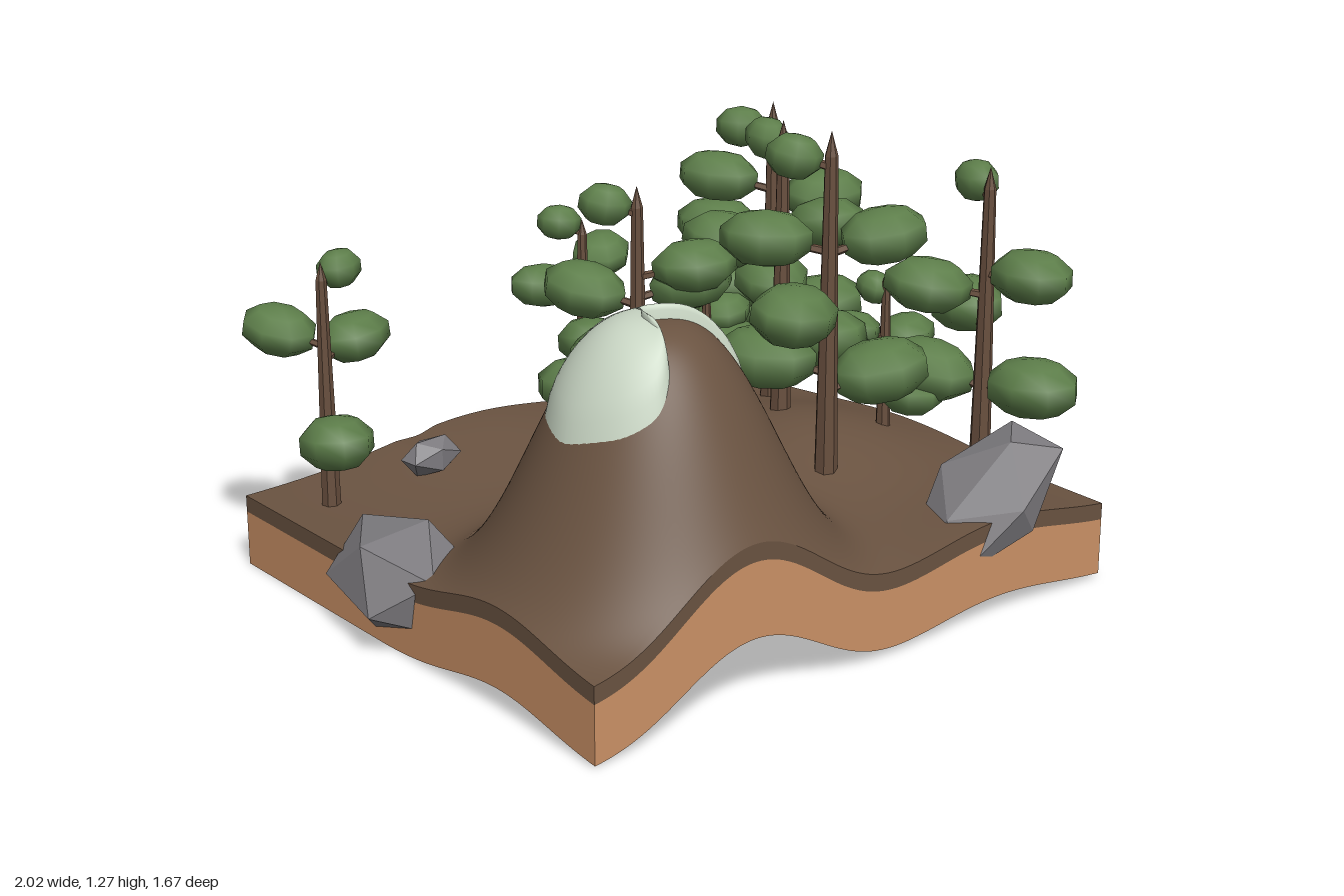
import * as THREE from 'three';

const mat = (name, color, extra = {}) => {
  const m = new THREE.MeshStandardMaterial({ color, ...extra });
  m.name = name;
  return m;
};

const X0 = -0.92, X1 = 0.86, Z0 = -0.83, Z1 = 0.77;
const step = (t) => THREE.MathUtils.smoothstep(t, 0, 1);
const bell = (dx, dz) => Math.exp(-dx * dx - dz * dz);

// Rolling land: mountain, low hill with a front spur, and back rise
function land(x, z) {
  const r = Math.hypot(x + 0.42, z - 0.38);
  return 0.205 + 0.715 * Math.exp(-Math.pow(r / 0.376, 2.8))
    + 0.155 * bell((x - 0.44) / 0.41, z / 0.46)
    + 0.065 * bell((x - 0.45) / 0.33, (z - 0.8) / 0.32)
    + 0.07 * bell((x + 0.15) / 0.4, (z + 0.83) / 0.4);
}

// Ground height, with a steep hollow cut behind the mountain
function ground(x, z) {
  const h = land(x, z);
  const cut = step((0.04 - z) / 0.045) * step((x + 0.7) / 0.07) * step((-0.27 - x) / 0.09);
  return THREE.MathUtils.lerp(h, Math.min(h, 0.25), cut);
}
const soilBase = (x, z) => ground(x, z) - 0.048;
const underside = (x, z) => Math.max(0, Math.min((land(x, z) - 0.207) * 0.8, ground(x, z) - 0.06));

function build(positions, index) {
  const g = new THREE.BufferGeometry();
  g.setAttribute('position', new THREE.Float32BufferAttribute(positions, 3));
  g.setIndex(index);
  g.computeVertexNormals();
  return g;
}

// Grid sheet over the whole plot, facing up or down
function sheet(height, up, n = 120) {
  const p = [], idx = [];
  for (let j = 0; j <= n; j++) for (let i = 0; i <= n; i++) {
    const x = X0 + (X1 - X0) * i / n, z = Z0 + (Z1 - Z0) * j / n;
    p.push(x, height(x, z), z);
    if (i < n && j < n) {
      const a = j * (n + 1) + i, b = a + 1, c = a + n + 1, d = c + 1;
      if (up) idx.push(a, c, b, b, c, d);
      else idx.push(a, b, c, b, d, c);
    }
  }
  return build(p, idx);
}

// Four outward walls between two height functions
function walls(low, high, n = 120) {
  const c = [[X0, Z1], [X1, Z1], [X1, Z0], [X0, Z0]];
  const p = [], idx = [];
  for (let s = 0; s < 4; s++) {
    const [ax, az] = c[s], [bx, bz] = c[(s + 1) % 4];
    for (let i = 0; i <= n; i++) {
      const x = ax + (bx - ax) * i / n, z = az + (bz - az) * i / n;
      const k = p.length / 3;
      p.push(x, low(x, z), z, x, high(x, z), z);
      if (i < n) idx.push(k, k + 2, k + 1, k + 1, k + 2, k + 3);
    }
  }
  return build(p, idx);
}

// Snow patch: rings growing from the summit to a wavy outline
function snowCap() {
  const outline = [[-0.35, 0.12], [-0.155, 0.2], [-0.13, 0.35], [-0.19, 0.46], [-0.34, 0.42],
    [-0.46, 0.385], [-0.485, 0.45], [-0.5, 0.54], [-0.56, 0.575], [-0.65, 0.525], [-0.71, 0.375],
    [-0.645, 0.215], [-0.58, 0.17], [-0.475, 0.18]];
  const curve = new THREE.CatmullRomCurve3(outline.map(([x, z]) => new THREE.Vector3(x, 0, z)), true);
  const n = 100, rings = 16, cx = -0.42, cz = 0.3, p = [], idx = [];
  for (let k = 0; k <= rings; k++) for (let i = 0; i < n; i++) {
    const t = k / rings, q = curve.getPoint(i / n);
    const x = cx + (q.x - cx) * t, z = cz + (q.z - cz) * t;
    const depth = k === rings ? -0.01 : (0.018 + 0.035 * t * t) * (1 - t ** 10);
    p.push(x, ground(x, z) + depth, z);
    if (k < rings) {
      const a = k * n + i, b = k * n + (i + 1) % n;
      idx.push(a, b, a + n, b, b + n, a + n);
    }
  }
  return build(p, idx);
}

// Trees: x, z, top height, then compass angle and height of each leaf clump, tip first
const TREES = [
  [-0.77, -0.62, 0.91, [[-16, 0.875], [-117, 0.7], [-22, 0.66], [112, 0.44]]],
  [-0.035, -0.17, 1.09, [[-146, 1.04], [34, 0.86], [19, 0.8], [-119, 0.78], [157, 0.65], [-125, 0.5]]],
  [0.295, 0.25, 1.27, [[-140, 1.2], [-130, 0.965], [11, 0.96], [165, 0.8], [-123, 0.62], [11, 0.57]]],
  [0.455, -0.12, 1.21, [[-79, 1.14], [84, 0.94], [-136, 0.86], [-59, 0.7], [84, 0.6], [-93, 0.48]]],
  [0.71, -0.45, 1.17, [[-130, 1.09], [-122, 0.93], [19, 0.87], [-123, 0.78], [180, 0.64], [-118, 0.54], [15, 0.52]]],
  [0.775, 0.38, 1.12, [[-68, 1.06], [88, 0.84], [-139, 0.78], [-63, 0.68], [78, 0.51], [-115, 0.51]]],
  [0.11, -0.61, 0.88, [[-143, 0.87], [-28, 0.74], [-174, 0.7], [119, 0.55], [-12, 0.45]]],
  [0.35, -0.33, 0.72, [[-170, 0.68], [-20, 0.59], [-176, 0.55], [90, 0.47]]],
  [0.66, 0.1, 0.78, [[-90, 0.72], [-153, 0.61], [-14, 0.56], [95, 0.45]]],
];

// Rocks: centre, radii, rotation
const ROCKS = [
  [[-0.835, 0.165, -0.17], [0.19, 0.15, 0.26], [0.1, -0.15, 0.2]],
  [[0.5, 0.3, 0.67], [0.27, 0.1, 0.17], [0.2, 0.1, 0.66]],
  [[-0.44, 0.275, -0.61], [0.1, 0.06, 0.06], [0, 0.1, 0]],
  [[0.04, 0.275, -0.35], [0.075, 0.06, 0.1], [0.1, -0.6, 0.1]],
];

export function createModel() {
  const model = new THREE.Group();
  const soil = mat('soil brown', 0x6a5341);
  const clay = mat('clay orange', 0xcc9266);
  const snow = mat('pale snow', 0xcbd8c6, { side: THREE.DoubleSide });
  const bark = mat('bark brown', 0x684f3e, { flatShading: true });
  const leaf = mat('leaf green', 0x5d7e4a);
  const stone = mat('stone grey', 0x7d7b7f, { flatShading: true });

  const add = (parent, name, geometry, material) => {
    const m = new THREE.Mesh(geometry, material);
    m.name = name;
    parent.add(m);
    return m;
  };

  // Land block
  add(model, 'groundSurface', sheet(ground, true), soil);
  add(model, 'soilEdge', walls(soilBase, ground), soil);
  add(model, 'clayEdge', walls(underside, soilBase), clay);
  add(model, 'groundUnderside', sheet(underside, false), soil);
  add(model, 'snowCap', snowCap(), snow);

  // Trees
  const up = new THREE.Vector3(0, 1, 0);
  const clumpGeo = new THREE.SphereGeometry(1, 8, 5);
  TREES.forEach(([x, z, top, clumps], t) => {
    const tree = new THREE.Group();
    tree.name = `tree${t + 1}`;
    const base = ground(x, z) - 0.03, h = top - base, r = 0.011 + 0.023 * h;
    const tip = 0.07 * h;
    add(tree, 'trunk', new THREE.CylinderGeometry(r * 0.55, r, h - tip, 7), bark)
      .position.set(x, base + (h - tip) / 2, z);
    add(tree, 'trunkTip', new THREE.ConeGeometry(r * 0.55, tip, 7), bark).position.set(x, top - tip / 2, z);

    // Small clump at the tip, larger ones lower down
    clumps.forEach(([degrees, y], i) => {
      const a = THREE.MathUtils.degToRad(degrees), first = i === 0;
      const low = (top - y) / h;
      const reach = first ? 0.1 * h : 0.05 + 0.125 * h;
      const size = first ? 0.032 + 0.035 * h : 0.04 + 0.06 * h + 0.035 * low;
      const end = new THREE.Vector3(x + reach * Math.cos(a), y, z + reach * Math.sin(a));
      const start = new THREE.Vector3(x, Math.min(y - 0.03, top - tip), z);
      const dir = end.clone().sub(start);
      const branch = add(tree, 'branch', new THREE.CylinderGeometry(r * 0.25, r * 0.4, dir.length(), 5), bark);
      branch.position.copy(start).lerp(end, 0.5);
      branch.quaternion.setFromUnitVectors(up, dir.normalize());
      const clump = add(tree, 'leafClump', clumpGeo, leaf);
      clump.position.copy(end);
      clump.scale.set(size * 1.22, size * (first ? 0.95 : 0.72), size);
      clump.rotation.set(0.15 * Math.sin(i * 2 + t), -a, 0.1);
    });
    model.add(tree);
  });

  // Rocks
  ROCKS.forEach(([pos, size, rot]) => {
    const rock = add(model, 'rock', new THREE.IcosahedronGeometry(1, 0), stone);
    rock.position.set(...pos);
    rock.scale.set(...size);
    rock.rotation.set(...rot);
  });
  return model;
}
